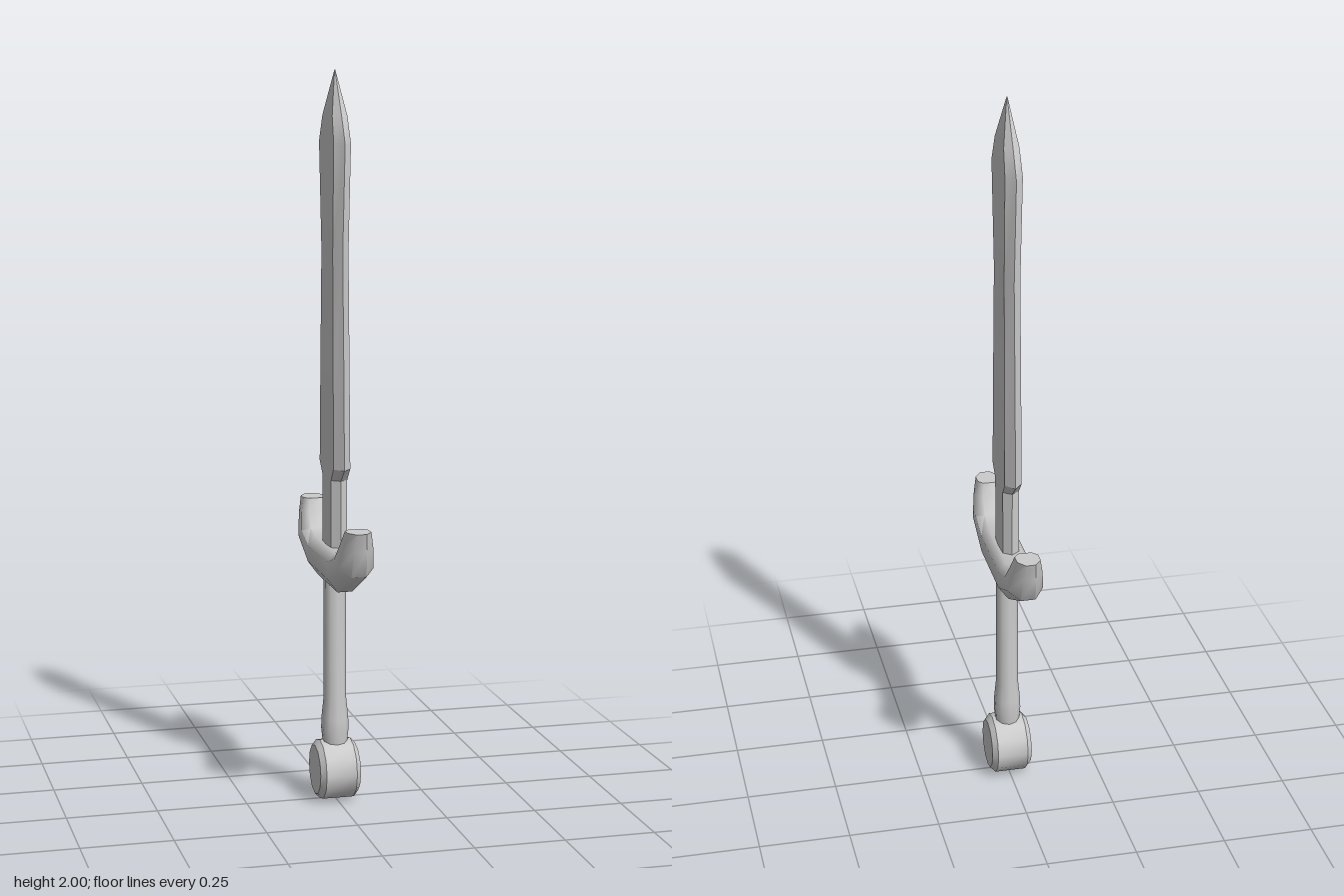
import * as THREE from 'three';
import { toCreasedNormals } from 'three/addons/utils/BufferGeometryUtils.js';

const material = new THREE.MeshStandardMaterial({ color: 0xcccccc });

function addMesh(parent, name, geometry, crease = 0.75) {
  const mesh = new THREE.Mesh(toCreasedNormals(geometry, crease), material);
  mesh.name = name;
  parent.add(mesh);
  return mesh;
}

// Skins a list of equal-length rings (counterclockwise about the travel direction) and caps both ends
function loft(rings) {
  const n = rings[0].length;
  const last = (rings.length - 1) * n;
  const index = [];
  for (let i = 0; i < rings.length - 1; i++) {
    for (let j = 0; j < n; j++) {
      const a = i * n + j, b = i * n + (j + 1) % n;
      index.push(a, b, b + n, a, b + n, a + n);
    }
  }
  for (let j = 1; j < n - 1; j++) {
    index.push(0, j + 1, j, last, last + j, last + j + 1);
  }
  const geometry = new THREE.BufferGeometry();
  geometry.setAttribute('position', new THREE.Float32BufferAttribute(rings.flat(2), 3));
  geometry.setIndex(index);
  return geometry;
}

export function createModel() {
  const sword = new THREE.Group();
  sword.name = 'sword';

  // Blade: bevelled sections given as height, half width, half thickness
  const bladeLevels = [
    [0.66, 0.065, 0.025], [0.905, 0.065, 0.025], [0.94, 0.105, 0.026],
    [1.22, 0.097, 0.025], [1.52, 0.085, 0.024], [1.81, 0.11, 0.026],
    [1.88, 0.073, 0.023], [2.0, 0.001, 0.001],
  ];
  const bladeRings = bladeLevels.map(([y, w, t]) => [
    [0, y, w], [t * 0.9, y, w * 0.73], [t, y, 0], [t * 0.9, y, -w * 0.73],
    [0, y, -w], [-t * 0.9, y, -w * 0.73], [-t, y, 0], [-t * 0.9, y, w * 0.73],
  ]);
  addMesh(sword, 'blade', loft(bladeRings), 0.4);

  // Crossguard: inner z, inner y, outer z, outer y, half depth from the middle to one tip
  const half = [
    [0.11, 0.72, 0.11, 0.61, 0.049], [0.165, 0.73, 0.258, 0.683, 0.049],
    [0.2, 0.77, 0.278, 0.755, 0.041], [0.218, 0.805, 0.29, 0.805, 0.032],
  ];
  const mirrored = half.map(([iz, iy, oz, oy, d]) => [-iz, iy, -oz, oy, d]).reverse();
  const guardRings = [...mirrored, ...half].map(([iz, iy, oz, oy, d]) => {
    const at = (x, f) => [x, oy + (iy - oy) * f, oz + (iz - oz) * f];
    return [
      at(d, 0.35), at(d, 0.78), at(d * 0.58, 1), at(-d * 0.58, 1),
      at(-d, 0.78), at(-d, 0.35), at(-d * 0.42, 0), at(d * 0.42, 0),
    ];
  });
  addMesh(sword, 'crossguard', loft(guardRings), 0.9);

  // Grip with a swelling above the pommel
  const gripProfile = [[0.033, 0.15], [0.038, 0.2], [0.037, 0.23], [0.031, 0.29], [0.031, 0.64]];
  addMesh(sword, 'grip', new THREE.LatheGeometry(
    gripProfile.map(([r, y]) => new THREE.Vector2(r, y)), 10), 0.8);

  // Pommel: a chamfered disc lying across the blade
  const pommelProfile = [[0, -0.057], [0.069, -0.057], [0.084, -0.043],
    [0.084, 0.043], [0.069, 0.057], [0, 0.057]];
  const pommel = addMesh(sword, 'pommel', new THREE.LatheGeometry(
    pommelProfile.map(([r, y]) => new THREE.Vector2(r, y)), 12), 0.6);
  pommel.rotation.z = Math.PI / 2;
  pommel.position.y = 0.084;

  return sword;
}
